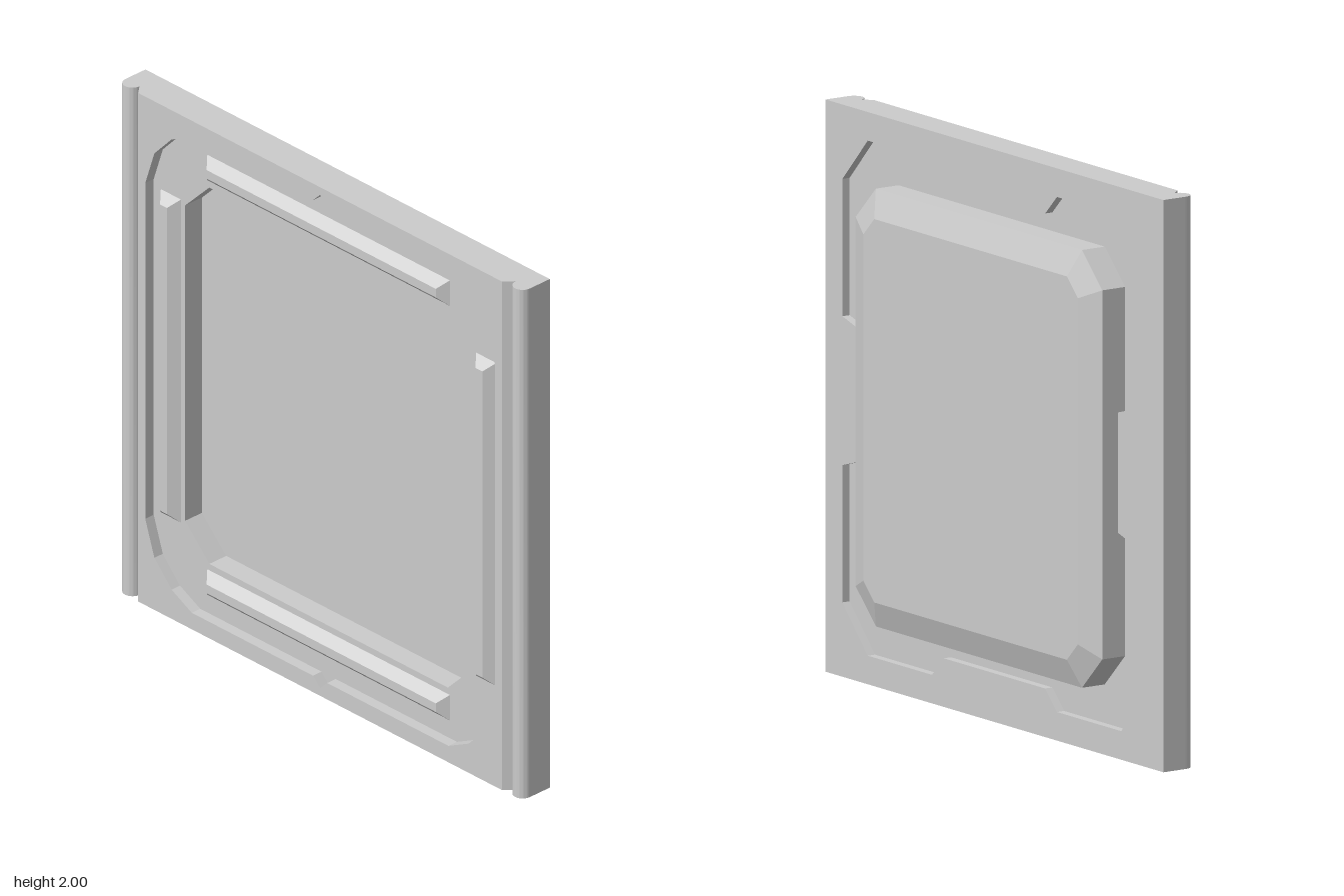
import * as THREE from 'three';
import { toCreasedNormals } from 'three/addons/utils/BufferGeometryUtils.js';

const material = new THREE.MeshStandardMaterial({ color: 0xcccccc });

// Mirrors the points of one quadrant (+x side to +y side) into a closed outline
function mirror4(q) {
  const flip = (sx, sy) => q.map(([x, y]) => [x * sx, y * sy]);
  const all = [...q, ...flip(-1, 1).reverse(), ...flip(-1, -1), ...flip(1, -1).reverse()];
  return all.filter(([x, y], i) => i === 0 || Math.hypot(x - all[i - 1][0], y - all[i - 1][1]) > 1e-6);
}
const rect = (hx, hy) => mirror4([[hx, hy]]);
const octagon = (hx, hy, cut) => mirror4([[hx, hy - cut], [hx - cut, hy]]);
const vectors = (pts) => pts.map(([x, y]) => new THREE.Vector2(x, y));

// Flat layer between two depths with one opening
function layer(outline, hole, z0, z1) {
  const shape = new THREE.Shape(vectors(outline));
  shape.holes.push(new THREE.Path(vectors(hole)));
  return new THREE.ExtrudeGeometry(shape, { depth: z1 - z0, bevelEnabled: false }).translate(0, 0, z0);
}

// Faceted skin through rings of [outline, z], closed by a cap on the last ring
function loft(rings) {
  const pos = [];
  const n = rings[0][0].length;
  const put = (r, i) => pos.push(...rings[r][0][i % n], rings[r][1]);
  for (let r = 0; r < rings.length - 1; r++) {
    for (let i = 0; i < n; i++) {
      put(r, i); put(r, i + 1); put(r + 1, i + 1);
      put(r, i); put(r + 1, i + 1); put(r + 1, i);
    }
  }
  const last = rings.length - 1;
  for (let i = 1; i < n - 1; i++) { put(last, 0); put(last, i); put(last, i + 1); }
  const geo = new THREE.BufferGeometry();
  geo.setAttribute('position', new THREE.Float32BufferAttribute(pos, 3));
  geo.computeVertexNormals();
  return geo;
}

export function createModel() {
  const model = new THREE.Group();
  model.name = 'wallPanel';
  const body = new THREE.Group();
  body.name = 'panelBody';
  body.position.y = 1;
  model.add(body);

  const add = (name, geo, x = 0, y = 0) => {
    const mesh = new THREE.Mesh(geo, material);
    mesh.name = name;
    mesh.position.set(x, y, 0);
    body.add(mesh);
  };

  // Back layer with the shallow tabbed recess
  const backRecess = mirror4([[0.73, 0.21], [0.9, 0.26], [0.9, 0.74], [0.75, 0.9], [0.37, 0.9], [0.3, 0.83]]);
  add('backFrame', layer(rect(1, 1), backRecess, -0.015, 0.015));

  // Core layer, open in the middle for the deep front well
  const well = octagon(0.71, 0.74, 0.12);
  add('corePlate', layer(rect(1, 1), well, 0.015, 0.075));

  // Front layer with the rounded recess and its pointed notches
  const frontRecess = mirror4([[0.865, 0.66], [0.82, 0.795], [0.735, 0.885], [0.635, 0.935], [0.035, 0.935], [0, 0.97]]);
  add('frontFrame', layer(rect(0.9, 1), frontRecess, 0.075, 0.115));

  // Rounded edge beads, each with a V groove beside it
  for (const side of [1, -1]) {
    const pts = [[0.9, 0.075], [1, 0.075]];
    for (let i = 0; i <= 16; i++) {
      const a = (i / 16) * Math.PI;
      pts.push([0.965 + 0.035 * Math.cos(a), 0.08 + 0.035 * Math.sin(a)]);
    }
    pts.push([0.9, 0.115]);
    const shape = new THREE.Shape(vectors(pts.map(([x, z]) => [x * side, -z])));
    const geo = new THREE.ExtrudeGeometry(shape, { depth: 2, bevelEnabled: false });
    geo.rotateX(-Math.PI / 2).translate(0, -1, 0);
    add(side > 0 ? 'leftBead' : 'rightBead', toCreasedNormals(geo, 0.5));
  }

  // Floor of the front well
  add('frontWell', loft([[well, 0.015], [well, -0.005]]));

  // Raised back block with chamfered rim
  const block = octagon(0.73, 0.765, 0.12);
  const blockFace = octagon(0.635, 0.67, 0.065);
  add('backBlock', loft([[block, -0.015], [block, 0.08], [blockFace, 0.115]]).rotateY(Math.PI));

  // Four bevelled bars around the front well
  const bar = (hx, hy) => loft([[rect(hx, hy), 0.075], [rect(hx - 0.033, hy - 0.033), 0.11]]);
  for (const s of [1, -1]) {
    add(s > 0 ? 'topBar' : 'bottomBar', bar(0.6, 0.05), 0, s * 0.815);
    add(s > 0 ? 'leftBar' : 'rightBar', bar(0.05, 0.635), s * 0.78, 0);
  }
  return model;
}
